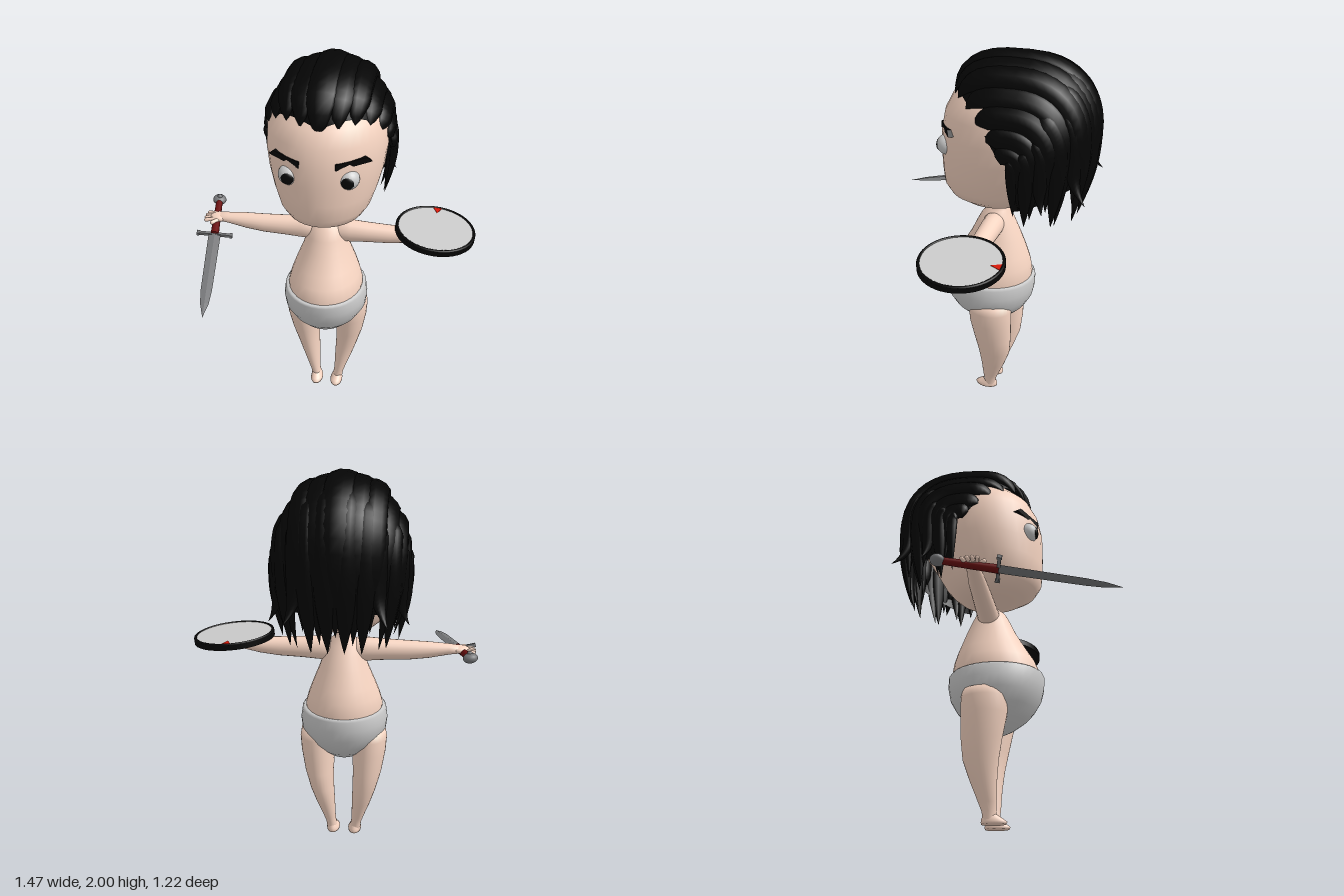
import * as THREE from 'three';

const CX = -0.052; // body centre line
const V = (x, y, z) => new THREE.Vector3(x, y, z);
const rad = THREE.MathUtils.degToRad;
const mat = (color, extra = {}) => new THREE.MeshStandardMaterial({ color, ...extra });
const skin = mat(0xf7d5c2), black = mat(0x060606), cloth = mat(0xcccccc);
const steel = mat(0x77787a), bladeSteel = mat(0x77787a, { flatShading: true });
const hairMat = mat(0x050505, { side: THREE.DoubleSide });
const red = mat(0xd81808), leather = mat(0x6a0f0f), white = mat(0xd8d8d8), plate = mat(0xbcbcbc);

function add(parent, name, geo, material, x = 0, y = 0, z = 0) {
  const m = new THREE.Mesh(geo, material);
  m.name = name;
  m.position.set(x, y, z);
  parent.add(m);
  return m;
}

// Grid surface from a point function; closed wraps the second direction
function surface(ni, nj, fn, closed = true) {
  const pos = [], idx = [], cols = closed ? nj : nj + 1;
  for (let i = 0; i <= ni; i++)
    for (let j = 0; j < cols; j++) pos.push(...fn(i, j / nj).toArray());
  for (let i = 0; i < ni; i++)
    for (let j = 0; j < nj; j++) {
      const k = (j + 1) % cols, a = i * cols + j, b = i * cols + k;
      idx.push(a, a + cols, b, a + cols, b + cols, b);
    }
  const g = new THREE.BufferGeometry();
  g.setAttribute('position', new THREE.Float32BufferAttribute(pos, 3));
  g.setIndex(idx);
  g.computeVertexNormals();
  return g;
}

// Stacked ellipses: [y, centreX, halfWidth, zFront, zBack], rising in y
const loft = (rows, n = 28) => surface(rows.length - 1, n, (i, t) => {
  const [y, cx, hw, zf, zb] = rows[i], a = t * Math.PI * 2;
  return V(cx + hw * Math.cos(a), y, (zf + zb) / 2 + (zf - zb) / 2 * Math.sin(a));
});

// Path of the hair from the hairline over the skull, then hanging down
const HY = 1.62, HZ = -0.21;
function hairPath(u, s, drop, flick) {
  const th0 = rad(12) + 0.5 * Math.abs(u);
  const th = THREE.MathUtils.lerp(th0, Math.PI, Math.min(1, s / 0.7));
  const front = th < Math.PI / 2, power = front ? 0.68 : 0.86; // squarer over the brow
  const k = Math.max(0, (s - 0.7) / 0.3), c = Math.cos(u);
  const up = Math.abs(Math.sin(th)) ** power, along = Math.abs(Math.cos(th)) ** power;
  const out = 1 - 0.16 * k * k + flick * k ** 3;
  return V(
    CX + 0.33 * Math.sin(u) * out,
    HY - 0.1 * Math.sin(u) ** 4 + 0.35 * c * up - drop * k,
    HZ + (front ? 0.355 : -0.36 * out) * c * along);
}

// Tapered lock that follows the hair path
function lock(u, s0, drop, flick, w, h) {
  const N = 24;
  return surface(N, 10, (i, t) => {
    const f = i / N, s = s0 + (1 - s0) * f;
    const p = hairPath(u, s, drop, flick);
    const tan = hairPath(u, s + 0.01, drop, flick).sub(hairPath(u, s - 0.01, drop, flick)).normalize();
    const nor = p.clone().sub(V(CX, Math.min(HY, p.y), HZ));
    nor.addScaledVector(tan, -nor.dot(tan)).normalize();
    const side = tan.clone().cross(nor);
    const taper = Math.min(1, f * 7) ** 0.6 * (1 - Math.max(0, (f - 0.6) / 0.4) ** 1.6);
    const a = t * Math.PI * 2;
    return p.addScaledVector(side, Math.cos(a) * w * taper).addScaledVector(nor, Math.sin(a) * h * taper);
  });
}

function makeHead() {
  const g = new THREE.Group();
  g.name = 'head';
  add(g, 'face', loft([
    [1.2, 0, 0, -0.08, -0.08], [1.205, 0, 0.1, 0.01, -0.2], [1.225, 0, 0.16, 0.1, -0.25], [1.26, 0, 0.205, 0.165, -0.29],
    [1.31, 0, 0.237, 0.195, -0.33], [1.4, 0, 0.268, 0.203, -0.38], [1.5, 0, 0.295, 0.205, -0.44],
    [1.6, 0, 0.308, 0.203, -0.47], [1.7, 0, 0.302, 0.183, -0.47], [1.78, 0, 0.272, 0.143, -0.45],
    [1.86, 0, 0.21, 0.06, -0.4], [1.92, 0, 0.12, -0.05, -0.33], [1.935, 0, 0, -0.18, -0.18],
  ], 36), skin, CX);
  for (const s of [-1, 1]) {
    const x = CX + s * 0.147;
    add(g, 'eye', new THREE.SphereGeometry(0.053, 24, 16), white, x, 1.54, 0.139);
    add(g, 'pupil', new THREE.SphereGeometry(0.032, 20, 12), black, x, 1.537, 0.18).scale.z = 0.45;
    // Brow is thicker and lower toward the nose
    const shape = new THREE.Shape([[-0.1, -0.008], [0.09, -0.026], [0.09, 0.008], [-0.07, 0.018]].map(p => new THREE.Vector2(...p)));
    const brow = new THREE.Group();
    brow.add(new THREE.Mesh(new THREE.ExtrudeGeometry(shape, { depth: 0.032, bevelEnabled: false }), black));
    brow.name = 'eyebrow';
    brow.position.set(CX - 0.152, 1.629, 0.117);
    brow.rotation.y = rad(-30);
    const half = new THREE.Group();
    half.name = 'browSide';
    if (s > 0) { half.scale.x = -1; half.position.x = 2 * CX; }
    half.add(brow);
    g.add(half);
  }
  return g;
}

function makeHair() {
  const g = new THREE.Group();
  g.name = 'hair';
  add(g, 'hairCap', surface(28, 32, (i, t) =>
    hairPath(rad(-85 + 170 * t), 0.03 + 0.87 * i / 28, 0.33, 0), false), hairMat);
  // Broad mirrored locks: [angle, start, drop, flick, halfWidth, thickness]
  const locks = [
    [16, 0, 0.38, 0, 0.065, 0.026], [30, 0, 0.31, 0.1, 0.065, 0.04], [44, 0, 0.4, 0, 0.06, 0.024],
    [57, 0, 0.27, 0.12, 0.058, 0.036], [69, 0, 0.3, 0, 0.05, 0.026], [79, 0, 0.21, 0.12, 0.045, 0.024],
    [8, 0.4, 0.42, 0, 0.055, 0.03], [24, 0.42, 0.42, 0.04, 0.05, 0.034], [35, 0.5, 0.26, 0.42, 0.045, 0.032],
    [50, 0.4, 0.38, 0.06, 0.05, 0.036], [63, 0.45, 0.24, 0.3, 0.042, 0.032], [74, 0.4, 0.32, 0.05, 0.04, 0.028],
    [84, 0.2, 0.26, 0.02, 0.035, 0.022],
  ];
  add(g, 'centreLock', lock(0, 0, 0.33, 0.08, 0.075, 0.036), hairMat);
  for (const s of [-1, 1])
    for (const [a, ...rest] of locks) add(g, 'lock', lock(s * rad(a), ...rest), hairMat);
  return g;
}

function makeLimbs(s) {
  const g = new THREE.Group();
  g.name = s > 0 ? 'leftLimbs' : 'rightLimbs';
  g.position.x = CX;
  g.scale.x = s;
  add(g, 'leg', loft([
    [0.02, 0.063, 0.03, -0.035, -0.1], [0.06, 0.07, 0.028, -0.035, -0.105], [0.1, 0.078, 0.033, -0.032, -0.12],
    [0.2, 0.097, 0.05, -0.028, -0.16], [0.3, 0.115, 0.064, -0.018, -0.194], [0.4, 0.129, 0.077, 0, -0.203],
    [0.52, 0.137, 0.09, 0.025, -0.205], [0.6, 0.14, 0.093, 0.032, -0.205], [0.645, 0.136, 0.089, 0.03, -0.2], [0.67, 0.12, 0.05, -0.03, -0.14],
  ]), skin);
  add(g, 'foot', loft([
    [0, 0.06, 0, -0.05, -0.05], [0.001, 0.06, 0.035, 0.012, -0.108], [0.012, 0.06, 0.036, 0.017, -0.11],
    [0.025, 0.061, 0.032, 0, -0.108], [0.045, 0.064, 0.024, -0.03, -0.1],
  ]), skin);
  const arm = loft([
    [0.02, 0.01, 0.03, -0.05, -0.12], [0.07, 0, 0.062, -0.025, -0.14], [0.13, 0, 0.062, -0.028, -0.138],
    [0.22, 0, 0.055, -0.03, -0.135], [0.34, 0, 0.05, -0.034, -0.13], [0.44, -0.005, 0.042, -0.04, -0.127],
    [0.54, -0.012, 0.028, -0.05, -0.118], [0.585, -0.013, 0.022, -0.05, -0.12], [0.61, -0.013, 0, -0.08, -0.08],
  ], 20).rotateZ(-Math.PI / 2);
  add(g, 'arm', arm, skin, 0, 1.09, 0);
  add(g, 'palm', new THREE.SphereGeometry(1, 18, 12), skin, 0.595, 1.103, -0.083).scale.set(0.05, 0.02, 0.041);
  for (let i = 0; i < 4; i++) {
    const f = add(g, 'finger', new THREE.CapsuleGeometry(0.0105, 0.045, 4, 8), skin, 0.646 - 0.004 * Math.abs(i - 1.5), 1.1, -0.117 + 0.022 * i);
    f.rotation.set(0, rad(9 - 6 * i), rad(84), 'YXZ');
  }
  const thumb = add(g, 'thumb', new THREE.CapsuleGeometry(0.012, 0.045, 4, 8), skin, 0.605, 1.1, -0.04);
  thumb.rotation.set(0, rad(-50), Math.PI / 2, 'YXZ');
  return g;
}

function makeSword() {
  const g = new THREE.Group();
  g.name = 'sword';
  g.position.set(-0.69, 1.11, -0.24);
  g.lookAt(-0.545, 0.985, 0.615);
  g.rotateZ(rad(-8));
  add(g, 'pommel', new THREE.SphereGeometry(0.037, 20, 14), steel).scale.y = 0.7;
  add(g, 'pommelCap', new THREE.SphereGeometry(0.014, 12, 8), steel, 0, 0.022, 0);
  add(g, 'grip', new THREE.CylinderGeometry(0.022, 0.018, 0.27, 16).rotateX(Math.PI / 2), leather, 0, 0, 0.155);
  const guard = add(g, 'guard', new THREE.BoxGeometry(0.18, 0.016, 0.016), steel, 0, 0, 0.288);
  for (const s of [-1, 1]) add(guard, 'guardEnd', new THREE.BoxGeometry(0.014, 0.018, 0.024), steel, s * 0.088, 0, 0);
  add(g, 'blade', loft([
    [0.285, 0, 0.032, 0.009, -0.009], [0.7, 0, 0.028, 0.008, -0.008], [0.79, 0, 0.021, 0.006, -0.006], [0.88, 0, 0, 0, 0],
  ], 4).rotateX(Math.PI / 2), bladeSteel);
  return g;
}

function makeShield() {
  const g = new THREE.Group();
  g.name = 'shield';
  g.position.set(0.525, 1.138, -0.08);
  g.rotation.z = rad(-5);
  add(g, 'shieldBack', new THREE.CylinderGeometry(0.21, 0.21, 0.028, 48), black);
  add(g, 'shieldRim', new THREE.TorusGeometry(0.202, 0.008, 8, 48).rotateX(Math.PI / 2), black, 0, 0.013, 0);
  add(g, 'shieldFace', new THREE.CylinderGeometry(0.198, 0.198, 0.004, 48), plate, 0, 0.014, 0);
  const mark = new THREE.CylinderGeometry(0.03, 0.03, 0.004, 3);
  add(g, 'redMark', mark, red, 0, 0.0165, -0.178).scale.set(0.9, 1, 1.1);
  add(g, 'strap', new THREE.TorusGeometry(0.035, 0.006, 8, 24).rotateY(Math.PI / 2), black, 0, -0.031, 0).scale.x = 1.6;
  return g;
}

export function createModel() {
  const model = new THREE.Group();
  model.name = 'figure';
  add(model, 'torso', loft([
    [0.7, 0, 0.2, 0.18, -0.27], [0.78, 0, 0.205, 0.18, -0.277], [0.84, 0, 0.188, 0.155, -0.268], [0.9, 0, 0.166, 0.118, -0.25],
    [1, 0, 0.126, 0.06, -0.213], [1.07, 0, 0.105, 0.028, -0.182], [1.12, 0, 0.088, 0.002, -0.16],
    [1.155, 0, 0.058, -0.035, -0.145], [1.18, 0, 0.039, -0.06, -0.138], [1.25, 0, 0.036, -0.06, -0.135],
  ]), skin, CX);
  add(model, 'briefs', loft([
    [0.455, 0, 0, -0.045, -0.045], [0.462, 0, 0.04, 0, -0.09], [0.485, 0, 0.082, 0.045, -0.135], [0.53, 0, 0.14, 0.105, -0.2],
    [0.58, 0, 0.19, 0.15, -0.248], [0.64, 0, 0.225, 0.184, -0.282], [0.7, 0, 0.232, 0.198, -0.294],
    [0.755, 0, 0.224, 0.2, -0.294], [0.768, 0, 0.214, 0.195, -0.286], [0.765, 0, 0.19, 0.17, -0.265],
  ], 36), cloth, CX);
  model.add(makeHead(), makeHair(), makeLimbs(1), makeLimbs(-1), makeSword(), makeShield());
  return model;
}
